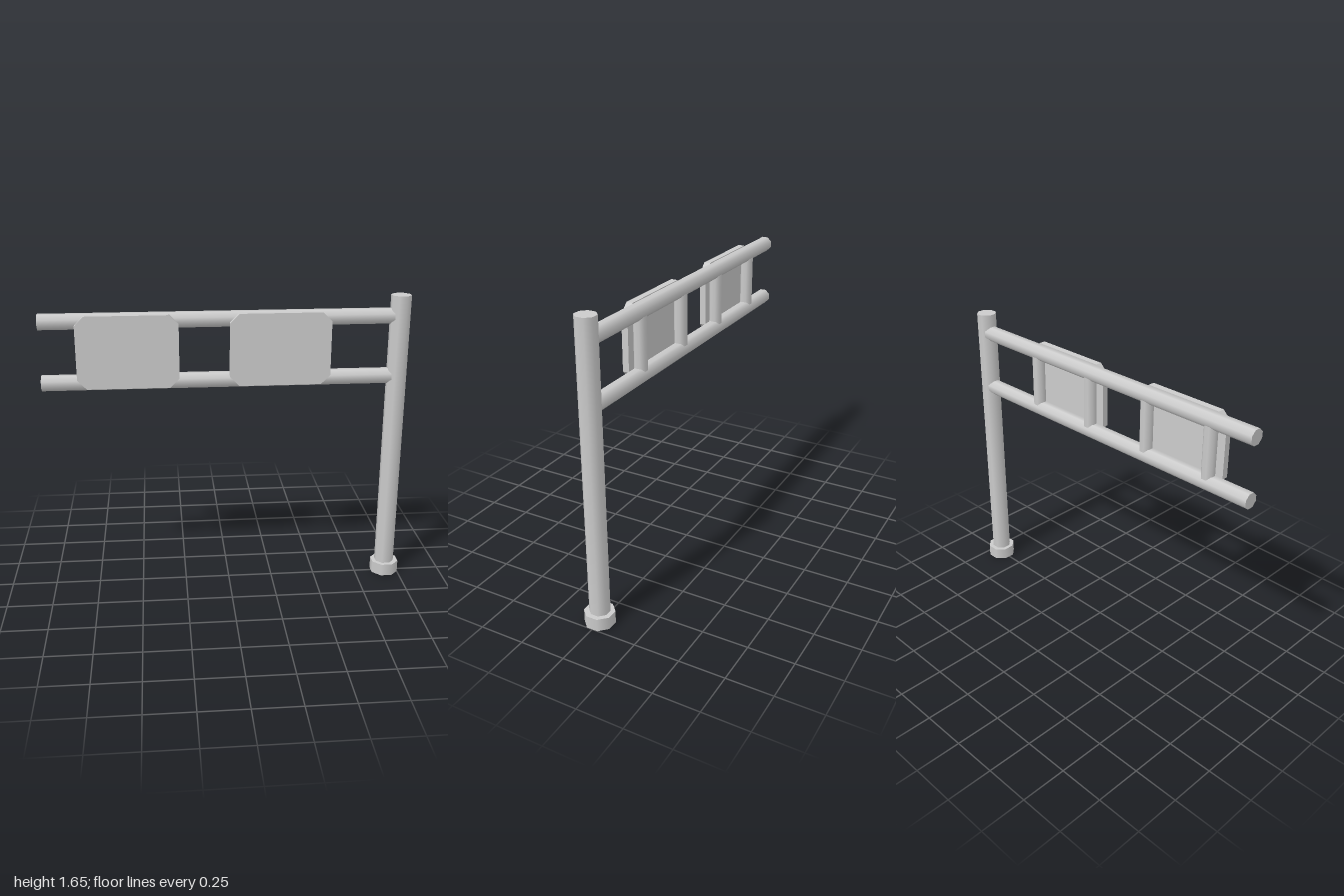
import * as THREE from 'three';

const material = new THREE.MeshStandardMaterial({ color: 0xcccccc });

// Eight-sided upright bar with its flats facing the axes; "half" is half the width across flats
function bar(name, half, length) {
  const r = half / Math.cos(Math.PI / 8);
  const geometry = new THREE.CylinderGeometry(r, r, length, 8);
  geometry.rotateY(Math.PI / 8);
  const mesh = new THREE.Mesh(geometry, material);
  mesh.name = name;
  return mesh;
}

// Flat plate with clipped corners
function plate(name, w, h, depth, cut) {
  const x = w / 2, y = h / 2;
  const outline = [
    [-x + cut, -y], [x - cut, -y], [x, -y + cut], [x, y - cut],
    [x - cut, y], [-x + cut, y], [-x, y - cut], [-x, -y + cut],
  ].map(([a, b]) => new THREE.Vector2(a, b));
  const geometry = new THREE.ExtrudeGeometry(new THREE.Shape(outline), { depth, bevelEnabled: false });
  const mesh = new THREE.Mesh(geometry, material);
  mesh.name = name;
  return mesh;
}

export function createModel() {
  const model = new THREE.Group();
  model.name = 'overheadSignGantry';
  const postX = 0.923, beamZ = -0.003;
  const beamYs = [1.206, 1.538];

  // Post and its foot
  const post = bar('post', 0.051, 1.65);
  post.position.set(postX, 0.825, 0);
  const foot = bar('postFoot', 0.075, 0.07);
  foot.position.set(0.925, 0.035, 0);
  model.add(post, foot);

  // Two horizontal beams, ending inside the post
  const beamLength = postX + 1;
  beamYs.forEach((y, i) => {
    const beam = bar(i ? 'upperBeam' : 'lowerBeam', 0.04, beamLength);
    beam.rotation.z = Math.PI / 2;
    beam.position.set(-1 + beamLength / 2, y, beamZ);
    model.add(beam);
  });

  // Sign panels, each backed by two struts between the beams
  for (const x of [-0.537, 0.274]) {
    const panel = plate('signPanel', 0.541, 0.393, 0.035, 0.05);
    panel.position.set(x, 1.379, 0.025);
    model.add(panel);
    for (const side of [-1, 1]) {
      const strut = bar('strut', 0.033, beamYs[1] - beamYs[0]);
      strut.position.set(x + side * 0.203, (beamYs[0] + beamYs[1]) / 2, beamZ);
      model.add(strut);
    }
  }
  return model;
}
